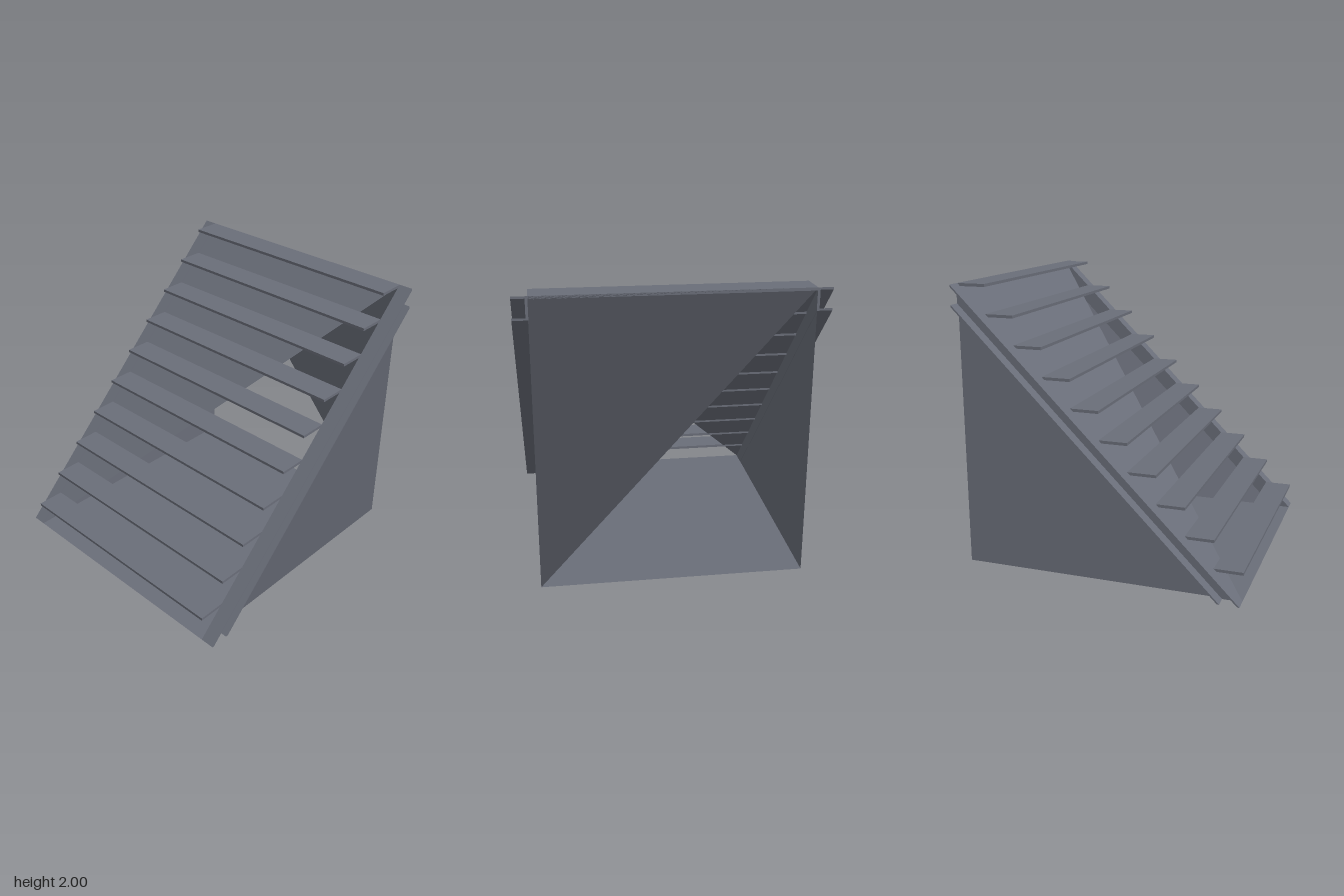
import * as THREE from 'three';

const COLOR = 0x6a6e79;
const solid = new THREE.MeshStandardMaterial({ color: COLOR });
const sheet = new THREE.MeshStandardMaterial({ color: COLOR, side: THREE.DoubleSide });

const STEPS = 10, HALF = 0.9, RISE = 0.2, THICK = 0.02;

// Panel fanned from its first corner; a folded panel is shaded with one average normal
function panel(name, corners) {
  const points = [], normals = [];
  const [first, ...rest] = corners.map((c) => new THREE.Vector3(...c));
  const normal = new THREE.Vector3();
  for (let i = 0; i < rest.length - 1; i++) {
    const a = rest[i], b = rest[i + 1];
    points.push(...first, ...a, ...b);
    normal.add(a.clone().sub(first).cross(b.clone().sub(first)));
  }
  normal.normalize();
  for (let i = 0; i < points.length; i += 3) normals.push(...normal);
  const geometry = new THREE.BufferGeometry();
  geometry.setAttribute('position', new THREE.Float32BufferAttribute(points, 3));
  geometry.setAttribute('normal', new THREE.Float32BufferAttribute(normals, 3));
  const mesh = new THREE.Mesh(geometry, sheet);
  mesh.name = name;
  return mesh;
}

// Sloping bar with level foot and plumb top, lying between two vertical offsets below the slope
function slopedBar(name, top, bottom, x0, x1) {
  const shape = new THREE.Shape([[-1 + top, 0], [-1 + bottom, 0], [1, 2 - bottom], [1, 2 - top]]
    .map(([a, y]) => new THREE.Vector2(a, y)));
  const geometry = new THREE.ExtrudeGeometry(shape, { depth: x1 - x0, bevelEnabled: false });
  geometry.rotateY(Math.PI / 2); // shape x runs to -z, depth runs to +x
  geometry.translate(x0, 0, 0);
  const mesh = new THREE.Mesh(geometry, solid);
  mesh.name = name;
  return mesh;
}

export function createModel() {
  const model = new THREE.Group();
  model.name = 'staircase';

  // Treads
  for (let i = 0; i < STEPS; i++) {
    const tread = new THREE.Mesh(new THREE.BoxGeometry(HALF * 2, THICK, RISE), solid);
    tread.name = 'tread';
    tread.position.set(0, RISE * (i + 1) - THICK / 2, 0.9 - RISE * i);
    model.add(tread);
  }

  // Channel stringers, open to the outside
  for (const side of [-1, 1]) {
    const stringer = new THREE.Group();
    stringer.name = side > 0 ? 'leftStringer' : 'rightStringer';
    const place = (name, top, bottom, near, far) => stringer.add(slopedBar(name, top, bottom,
      Math.min(side * near, side * far), Math.max(side * near, side * far)));
    place('web', 0, 0.15, HALF - 0.002, HALF + 0.015);
    place('upperFlange', 0, 0.015, HALF, 1);
    place('lowerFlange', 0.135, 0.15, HALF, 1);
    model.add(stringer);
  }

  // Floor, right wall, half slope panel just under the treads, and left wall folded into the half back
  model.add(panel('floor', [[-HALF, 0, 1], [HALF, 0, 1], [HALF, 0, -1], [-HALF, 0, -1]]));
  model.add(panel('rightWall', [[-HALF, 0, -1], [-HALF, 0, 1], [-HALF, 2, -1]]));
  model.add(panel('slopePanel', [[-HALF, 0, 0.995], [HALF, 1.995, -1], [-HALF, 1.995, -1]]));
  model.add(panel('leftWallAndBack', [[HALF, 2, -1], [HALF, 0, 1], [HALF, 0, -1], [-HALF, 2, -1]]));
  return model;
}
